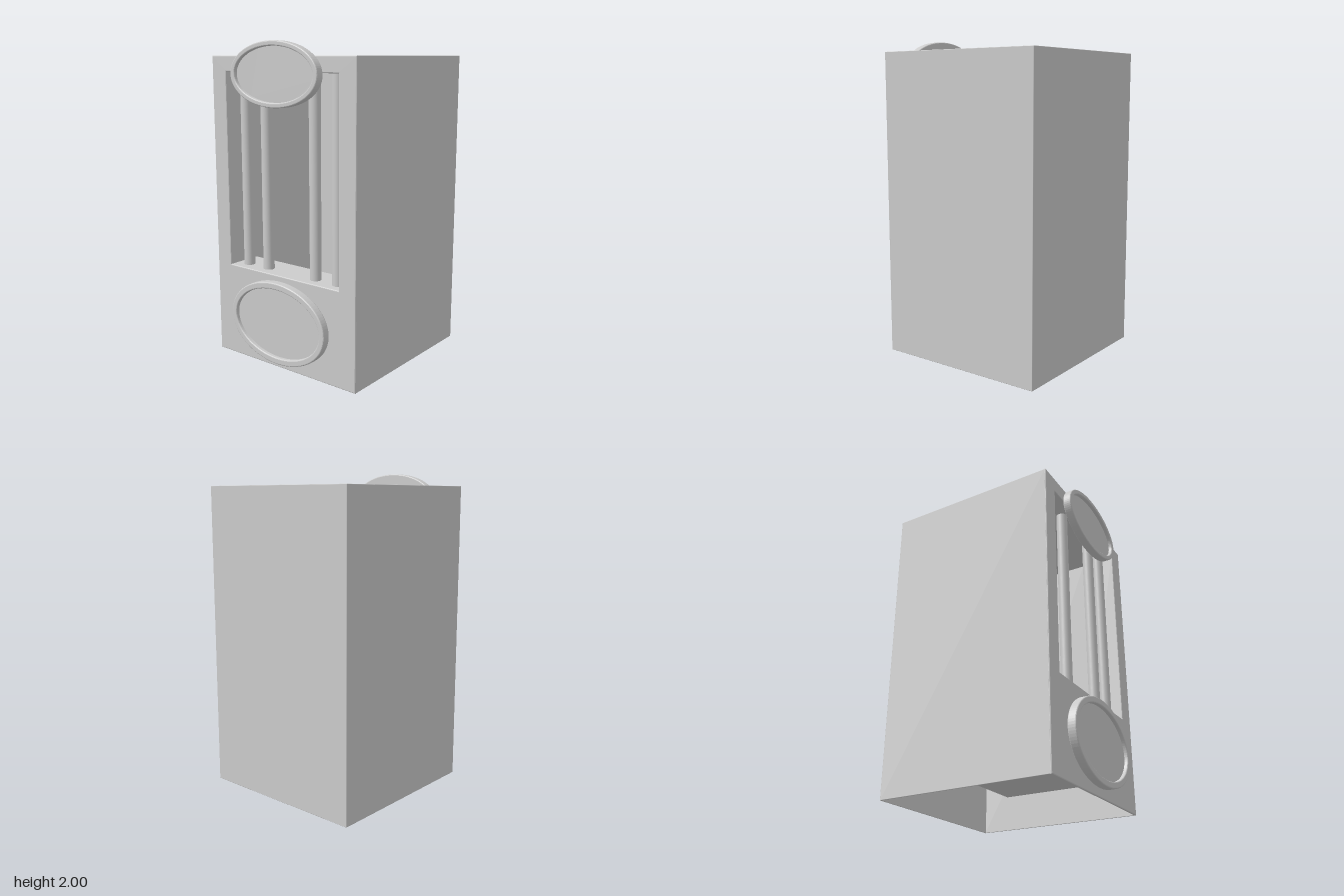
import * as THREE from 'three';
import { RoundedBoxGeometry } from 'three/addons/geometries/RoundedBoxGeometry.js';

const mat = new THREE.MeshStandardMaterial({ color: 0xcccccc });
const X = 0.557, TOP = 1.915, BACK = -0.587, FRONT = 0.528;
const T = 0.006;                                  // wall thickness
const FT = 0.014, B = 0.0065;                     // front panel thickness and bevel
const WX0 = -0.44, WX1 = 0.435, WY0 = 0.597, WY1 = 1.82; // window opening
const LIP = 0.3, CB = -0.34, CY = 0.2;            // lip end, cavity back, cavity floor

export function createModel() {
  const model = new THREE.Group();
  const add = (name, geo, x = 0, y = 0, z = 0, parent = model) => {
    const m = new THREE.Mesh(geo, mat);
    m.name = name;
    m.position.set(x, y, z);
    parent.add(m);
    return m;
  };
  const panel = (name, w, h, d, x, y, z) =>
    add(name, new RoundedBoxGeometry(w, h, d, 2, 0.0029), x, y, z);
  const board = (name, w, h, d, x, y, z) => add(name, new THREE.BoxGeometry(w, h, d), x, y, z);
  const rect = (P, x0, y0, x1, y1) => {
    const p = new P();
    p.moveTo(x0, y0);
    p.lineTo(x1, y0);
    p.lineTo(x1, y1);
    p.lineTo(x0, y1);
    p.closePath();
    return p;
  };

  // Hollow thin-walled cabinet, open underneath
  const wallEnd = FRONT - FT / 2, midZ = (BACK + wallEnd) / 2, depth = wallEnd - BACK;
  for (const s of [-1, 1]) panel('sideWall', T, TOP, depth, s * (X - T / 2), TOP / 2, midZ);
  panel('backWall', 2 * X, TOP, T, 0, TOP / 2, BACK + T / 2);
  panel('topPanel', 2 * X, T, depth, 0, TOP - T / 2, midZ);

  // Front panel with a softened rectangular window
  const front = rect(THREE.Shape, -X + B, B, X - B, TOP - B);
  front.holes.push(rect(THREE.Path, WX0 - B, WY0 - B, WX1 + B, WY1 + B));
  add('frontPanel', new THREE.ExtrudeGeometry(front, {
    depth: FT - 2 * B, bevelThickness: B, bevelSize: B, bevelSegments: 3,
  }), 0, 0, FRONT - FT + B);

  // Lip around the window
  const lip = rect(THREE.Shape, WX0 - T, WY0 - T, WX1 + T, WY1 + T);
  lip.holes.push(rect(THREE.Path, WX0, WY0, WX1, WY1));
  add('windowLip', new THREE.ExtrudeGeometry(lip, {
    depth: FRONT - FT / 2 - LIP, bevelEnabled: false,
  }), 0, 0, LIP);

  // Cavity behind the lip, with its floor sunk below the sill
  const cw = WX1 - WX0, cx = (WX0 + WX1) / 2, ch = WY1 - CY, cy = (WY1 + CY) / 2;
  const cd = LIP - CB, cz = (LIP + CB) / 2;
  board('cavitySide', T, ch, cd, WX0 - T / 2, cy, cz);
  board('cavitySide', T, ch, cd, WX1 + T / 2, cy, cz);
  board('cavityBack', cw, ch, T, cx, cy, CB - T / 2);
  board('cavityTop', cw, T, cd, cx, WY1 + T / 2, cz);
  board('cavityFloor', cw + 2 * T, T, cd, cx, CY, cz);
  board('cavityFront', cw, WY0 - CY, T, cx, (WY0 + CY) / 2, LIP);

  // Four round columns standing in the window
  for (const x of [-0.355, -0.185, 0.197, 0.367])
    add('column', new THREE.CylinderGeometry(0.035, 0.035, WY1 - WY0, 32),
      x, (WY0 + WY1) / 2, 0.443);

  // Oval plaques: raised rounded rim around a recessed plate
  const oval = (name, y, rx, ry, ix, iy) => {
    const g = new THREE.Group();
    g.name = name;
    g.position.set(-0.005, y, 0.532);
    model.add(g);
    const c = 0.008;
    const rim = new THREE.Shape().absellipse(0, 0, rx - c, ry - c, 0, Math.PI * 2);
    rim.holes.push(new THREE.Path().absellipse(0, 0, ix + c, iy + c, 0, Math.PI * 2));
    add('rim', new THREE.ExtrudeGeometry(rim, {
      depth: 0.054 - 2 * c, bevelThickness: c, bevelSize: c, bevelSegments: 4, curveSegments: 48,
    }), 0, 0, c, g);
    const plate = new THREE.Shape().absellipse(0, 0, ix + 0.012, iy + 0.012, 0, Math.PI * 2);
    add('plate', new THREE.ExtrudeGeometry(plate, {
      depth: 0.03, bevelEnabled: false, curveSegments: 48,
    }), 0, 0, 0, g);
  };
  oval('upperPlaque', 1.809, 0.337, 0.191, 0.303, 0.161);
  oval('lowerPlaque', 0.308, 0.376, 0.259, 0.338, 0.218);

  return model;
}
